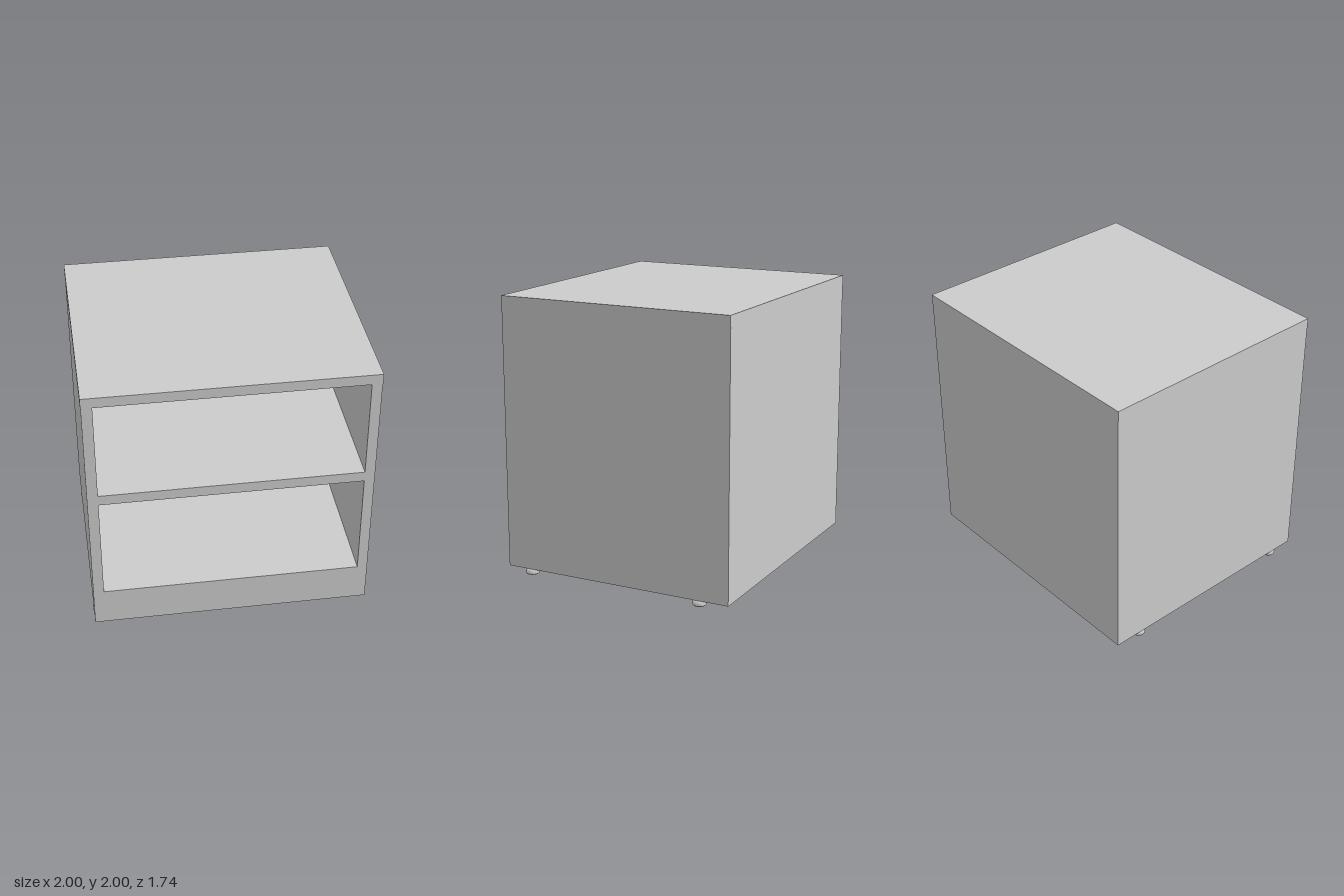
import * as THREE from 'three';

const grey = new THREE.MeshStandardMaterial({ color: 0xcccccc });
grey.name = 'grey';

export function createModel() {
  const model = new THREE.Group();
  model.name = 'bedsideCabinet';

  // Box panel given by its extents along each axis
  const panel = (name, [x0, x1], [y0, y1], [z0, z1]) => {
    const mesh = new THREE.Mesh(new THREE.BoxGeometry(x1 - x0, y1 - y0, z1 - z0), grey);
    mesh.position.set((x0 + x1) / 2, (y0 + y1) / 2, (z0 + z1) / 2);
    mesh.name = name;
    model.add(mesh);
  };

  const depth = [-0.87, 0.87];
  const inner = [-0.92, 0.915];

  // Carcass
  panel('top', [-0.997, 0.99], [1.925, 2], depth);
  panel('rightSide', [-0.995, inner[0]], [0.04, 1.925], depth);
  panel('leftSide', [inner[1], 0.987], [0.04, 1.925], depth);
  panel('plinth', inner, [0.04, 0.25], depth);
  panel('backPanel', inner, [0.25, 1.925], [-0.87, -0.85]);

  // Shelves
  panel('bottomShelf', inner, [0.25, 0.327], [-0.85, 0.87]);
  panel('middleShelf', inner, [1.12, 1.197], [-0.85, 0.87]);

  // Round feet with a softened lower rim
  const profile = [[0, 0], [0.042, 0], [0.047, 0.006], [0.047, 0.04], [0, 0.04]];
  const footGeometry = new THREE.LatheGeometry(profile.map(([r, y]) => new THREE.Vector2(r, y)), 24);
  for (const x of [-0.953, 0.953]) {
    for (const z of [-0.64, 0.695]) {
      const foot = new THREE.Mesh(footGeometry, grey);
      foot.position.set(x, 0, z);
      foot.name = 'foot';
      model.add(foot);
    }
  }
  return model;
}
